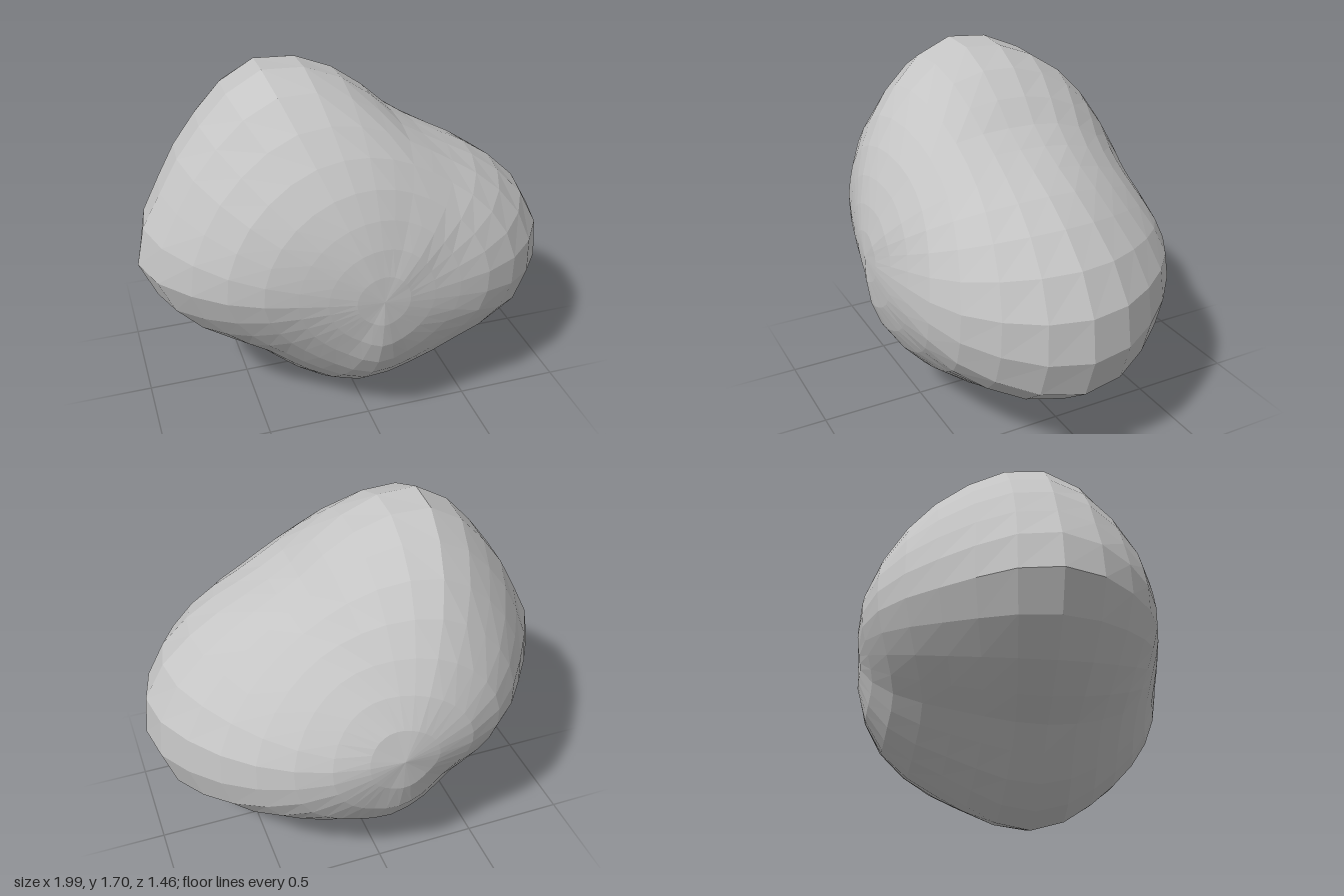
import * as THREE from 'three';

// Radii around the z axis every 22.5 degrees starting at +x, one ring per 30 degrees of tilt
const RINGS = {
  front: [0.67, 0.65, 0.64, 0.63, 0.645, 0.66, 0.66, 0.655, 0.65, 0.63, 0.62, 0.63, 0.67, 0.665, 0.665, 0.675],
  frontSide: [0.86, 0.77, 0.68, 0.67, 0.72, 0.78, 0.79, 0.80, 0.81, 0.72, 0.655, 0.67, 0.72, 0.72, 0.76, 0.86],
  middle: [0.99, 0.81, 0.67, 0.65, 0.80, 0.953, 0.923, 0.92, 0.98, 0.837, 0.70, 0.748, 0.82, 0.765, 0.83, 1.025],
  backSide: [0.92, 0.77, 0.68, 0.69, 0.81, 0.915, 0.90, 0.89, 0.89, 0.79, 0.70, 0.73, 0.77, 0.78, 0.84, 0.95],
  back: [0.86, 0.79, 0.74, 0.74, 0.79, 0.85, 0.88, 0.90, 0.89, 0.84, 0.80, 0.82, 0.84, 0.84, 0.86, 0.88],
};
const FRONT_POLE = 0.625, BACK_POLE = 0.83;

// Smooth curve through b and c
function spline(a, b, c, d, t) {
  return b + 0.5 * t * (c - a + t * (2 * a - 5 * b + 4 * c - d + t * (3 * (b - c) + d - a)));
}

// Radius of one ring at an angle around the axis
function around(ring, angle) {
  const n = ring.length;
  const u = (angle / (Math.PI * 2)) * n;
  const i = Math.floor(u);
  const at = (k) => ring[(((i + k) % n) + n) % n];
  return spline(at(-1), at(0), at(1), at(2), u - i);
}

// Radius in any direction: tilt 0 is the front pole, PI the back pole
function radius(tilt, angle) {
  const opposite = angle + Math.PI;
  const k = [
    around(RINGS.front, opposite),
    FRONT_POLE,
    ...Object.values(RINGS).map((ring) => around(ring, angle)),
    BACK_POLE,
    around(RINGS.back, opposite),
  ];
  const u = (tilt / Math.PI) * 6;
  const i = Math.min(5, Math.floor(u));
  return spline(k[i], k[i + 1], k[i + 2], k[i + 3], u - i);
}

export function createModel() {
  const group = new THREE.Group();
  group.name = 'rock';
  const stone = new THREE.MeshStandardMaterial({ color: 0xc4c4c4, flatShading: true });
  stone.name = 'stone grey';

  // Faceted sphere with its poles on the z axis, pushed in and out
  const geometry = new THREE.SphereGeometry(1, 32, 16).rotateX(Math.PI / 2);
  const p = geometry.attributes.position;
  const v = new THREE.Vector3();
  for (let i = 0; i < p.count; i++) {
    v.fromBufferAttribute(p, i).normalize();
    const tilt = Math.acos(THREE.MathUtils.clamp(v.z, -1, 1));
    const angle = Math.hypot(v.x, v.y) < 1e-6 ? 0 : Math.atan2(v.y, v.x);
    v.multiplyScalar(radius(tilt, angle));
    p.setXYZ(i, v.x, v.y, v.z);
  }
  geometry.translate(-0.02, 0.82, 0.115);
  geometry.computeVertexNormals();

  const body = new THREE.Mesh(geometry, stone);
  body.name = 'boulder';
  group.add(body);
  return group;
}
